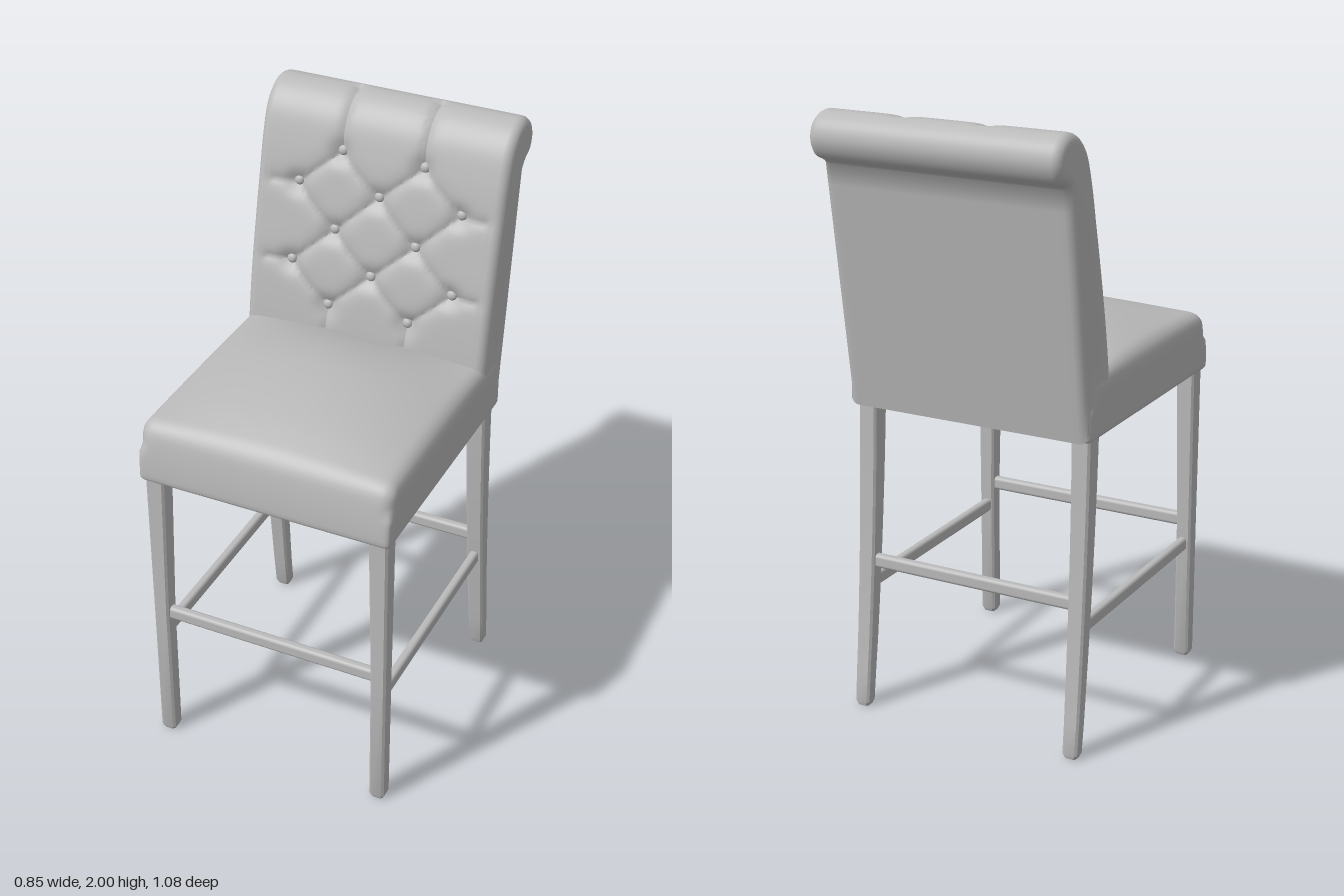
import * as THREE from 'three';
import { mergeVertices, toCreasedNormals } from 'three/addons/utils/BufferGeometryUtils.js';
import { RoundedBoxGeometry } from 'three/addons/geometries/RoundedBoxGeometry.js';

const grey = new THREE.MeshStandardMaterial({ color: 0xbababa });
grey.name = 'warm grey';

function addMesh(parent, name, geometry) {
  const mesh = new THREE.Mesh(geometry, grey);
  mesh.name = name;
  parent.add(mesh);
  return mesh;
}

function indexed(positions, indices) {
  const g = new THREE.BufferGeometry();
  g.setAttribute('position', new THREE.Float32BufferAttribute(positions, 3));
  g.setIndex(indices);
  return g;
}

// Seat cushion: rounded block whose top swells into a crown
function seatGeometry() {
  const half = [0.425, 0.1025, 0.44], r = 0.045;
  let g = new THREE.BoxGeometry(2, 2, 2, 40, 16, 40);
  g.deleteAttribute('uv');
  g.deleteAttribute('normal');
  g = mergeVertices(g);
  const p = g.attributes.position;
  const v = new THREE.Vector3(), core = new THREE.Vector3();
  for (let i = 0; i < p.count; i++) {
    v.fromBufferAttribute(p, i);
    const c = [v.x, v.y, v.z].map((t, k) => Math.sin(t * Math.PI / 2) * half[k]);
    v.set(...c);
    const rad = v.y > 0 ? r : 0.02;
    core.set(...c.map((t, k) => THREE.MathUtils.clamp(t, rad - half[k], half[k] - rad)));
    v.sub(core);
    if (v.lengthSq() > 1e-12) v.setLength(rad);
    v.add(core);
    v.y += 1.14;
    v.z += 0.1;
    const up = (v.y - 1.0375) / 0.205;
    const dz = (v.z - 0.1) / (v.z > 0.1 ? 0.44 : 0.33);
    v.y += 0.073 * up * Math.max(0, 1 - (v.x / 0.425) ** 2) * Math.max(0, 1 - dz * dz);
    // upper front edge leans back
    v.z -= 0.03 * up * up * THREE.MathUtils.smoothstep(v.z, 0.35, 0.54);
    p.setXYZ(i, v.x, v.y, v.z);
  }
  g.computeVertexNormals();
  return g;
}

// Backrest side profile as (z, y): front, scroll top, back, underside
const front = new THREE.SplineCurve([
  [-0.18, 1.1], [-0.19, 1.24], [-0.22, 1.42], [-0.255, 1.58], [-0.288, 1.72], [-0.318, 1.84],
  [-0.352, 1.93], [-0.405, 1.985], [-0.47, 2.0], [-0.523, 1.972], [-0.541, 1.92], [-0.522, 1.87],
  [-0.485, 1.85], [-0.463, 1.835],
].map(([z, y]) => new THREE.Vector2(z, y))).getSpacedPoints(110);
const frontRows = front.findIndex(p => p.x < -0.47);

// Buttons in a diamond layout, and the creases joining them
const buttons = [];
[1.83, 1.71, 1.58, 1.455, 1.33].forEach((y, row) => {
  for (const x of row % 2 ? [-0.28, 0, 0.28] : [-0.14, 0.14]) buttons.push([x, y]);
});
const creases = [];
buttons.forEach((a, i) => {
  buttons.slice(i + 1).forEach(b => {
    if (Math.hypot(a[0] - b[0], a[1] - b[1]) < 0.22) creases.push([a, b]);
  });
  if (a[1] > 1.8) creases.push([a, [a[0], 2.02]]);
  if (a[1] < 1.35) creases.push([a, [a[0], 1.2]]);
  if (Math.abs(a[0]) > 0.2) creases.push([a, [a[0] * 1.3, a[1]]]);
});

function tuftDepth(x, y) {
  let line = 1, knot = 1;
  for (const [a, b] of creases) {
    const dx = b[0] - a[0], dy = b[1] - a[1];
    const t = THREE.MathUtils.clamp(((x - a[0]) * dx + (y - a[1]) * dy) / (dx * dx + dy * dy), 0, 1);
    line = Math.min(line, Math.hypot(x - a[0] - t * dx, y - a[1] - t * dy));
  }
  for (const b of buttons) knot = Math.min(knot, Math.hypot(x - b[0], y - b[1]));
  return 0.013 * Math.exp(-line / 0.016) + 0.02 * Math.exp(-((knot / 0.035) ** 2));
}

function backGeometry() {
  const profile = [...front];
  const corners = [front[front.length - 1], new THREE.Vector2(-0.345, 1.04), new THREE.Vector2(-0.2, 1.04)];
  for (let i = 1; i <= 12; i++) profile.push(corners[0].clone().lerp(corners[1], i / 12));
  profile.push(corners[2]);
  const n = profile.length;
  const normals = profile.map((p, j) => {
    const t = profile[(j + 1) % n].clone().sub(profile[(j + n - 1) % n]).normalize();
    return new THREE.Vector2(t.y, -t.x);
  });
  // Columns across the width, with rounded ends
  const W = 0.422, r = 0.032, cols = [];
  for (let i = 5; i >= 1; i--) {
    const a = i / 5 * Math.PI / 2;
    cols.push([-(W - r + r * Math.sin(a)), r * (1 - Math.cos(a))]);
  }
  for (let i = 0; i <= 84; i++) cols.push([(W - r) * (i / 42 - 1), 0]);
  for (let i = 4; i >= 0; i--) cols.push([-cols[i][0], cols[i][1]]);

  const pos = [], idx = [];
  cols.forEach(([x, inset], i) => {
    profile.forEach((p, j) => {
      const d = inset + (j < frontRows ? tuftDepth(x, p.y) : 0);
      pos.push(x, p.y - normals[j].y * d, p.x - normals[j].x * d);
      if (i === cols.length - 1) return;
      const a = i * n + j, b = i * n + (j + 1) % n;
      idx.push(a, a + n, b + n, a, b + n, b);
    });
  });
  // End caps
  const outline = profile.map((p, j) => p.clone().addScaledVector(normals[j], -r));
  const last = (cols.length - 1) * n;
  for (const [a, b, c] of THREE.ShapeUtils.triangulateShape(outline, [])) {
    idx.push(a, b, c, last + a, last + c, last + b);
  }
  return toCreasedNormals(indexed(pos, idx), 1.0);
}

// Leg: chamfered square sections [y, centre z, half width x, half depth z]
function legGeometry(sections, outerX, side) {
  const pos = [], idx = [], last = (sections.length - 1) * 8;
  for (const [y, cz, hx, hz] of sections) {
    const cx = side * (outerX - 0.026 - (hx > 0.027 ? hx - 0.026 : 0)), c = 0.007;
    for (const [x, z] of [[hx, -hz + c], [hx, hz - c], [hx - c, hz], [c - hx, hz],
      [-hx, hz - c], [-hx, c - hz], [c - hx, -hz], [hx - c, -hz]]) pos.push(cx + x, y, cz + z);
  }
  for (let s = 0; s < last; s += 8) {
    for (let k = 0; k < 8; k++) {
      const a = s + k, b = s + (k + 1) % 8;
      idx.push(a, a + 8, b, b, a + 8, b + 8);
    }
  }
  for (let k = 1; k < 7; k++) idx.push(0, k, k + 1, last, last + k + 1, last + k);
  return toCreasedNormals(indexed(pos, idx), 0.5);
}

export function createModel() {
  const model = new THREE.Group();
  model.name = 'barChair';

  addMesh(model, 'seatCushion', seatGeometry());
  addMesh(model, 'tuftedBackrest', backGeometry());

  // Buttons sit in the tufting hollows
  const buttonGeo = new THREE.SphereGeometry(0.017, 16, 10);
  for (const [x, y] of buttons) {
    const j = front.findIndex(p => p.y >= y);
    const m = addMesh(model, 'tuftButton', buttonGeo);
    m.position.set(x, y, front[j].x - 0.026);
    m.rotation.x = -0.2;
    m.scale.z = 0.7;
  }

  // Legs: straight tapered in front, swept back behind
  const frontLeg = [[0, 0.495, 0.02, 0.02], [0.014, 0.495, 0.026, 0.026], [0.5, 0.492, 0.026, 0.028], [1.06, 0.488, 0.032, 0.033]];
  const rearLeg = [[0, -0.362, 0.02, 0.018], [0.014, -0.361, 0.026, 0.023]];
  for (let i = 1; i <= 10; i++) {
    const t = i / 10;
    rearLeg.push([0.014 + 1.046 * t, -0.361 + 0.082 * (1.55 * t - 0.55 * t * t), 0.026 + 0.006 * t, 0.023 + 0.012 * t]);
  }
  for (const side of [1, -1]) {
    addMesh(model, 'frontLeg', legGeometry(frontLeg, 0.411, side));
    addMesh(model, 'rearLeg', legGeometry(rearLeg, 0.411, side));
    // Side rails
    const rail = addMesh(model, 'sideRail', new RoundedBoxGeometry(0.03, 0.046, 0.8, 3, 0.012));
    rail.position.set(side * 0.383, 0.422, 0.09);
  }

  // Footrest in front and matching rail behind
  for (const [name, z] of [['footrest', 0.492], ['rearRail', -0.312]]) {
    const rail = addMesh(model, name, new RoundedBoxGeometry(0.74, 0.046, 0.032, 3, 0.012));
    rail.position.set(0, 0.503, z);
  }
  return model;
}
